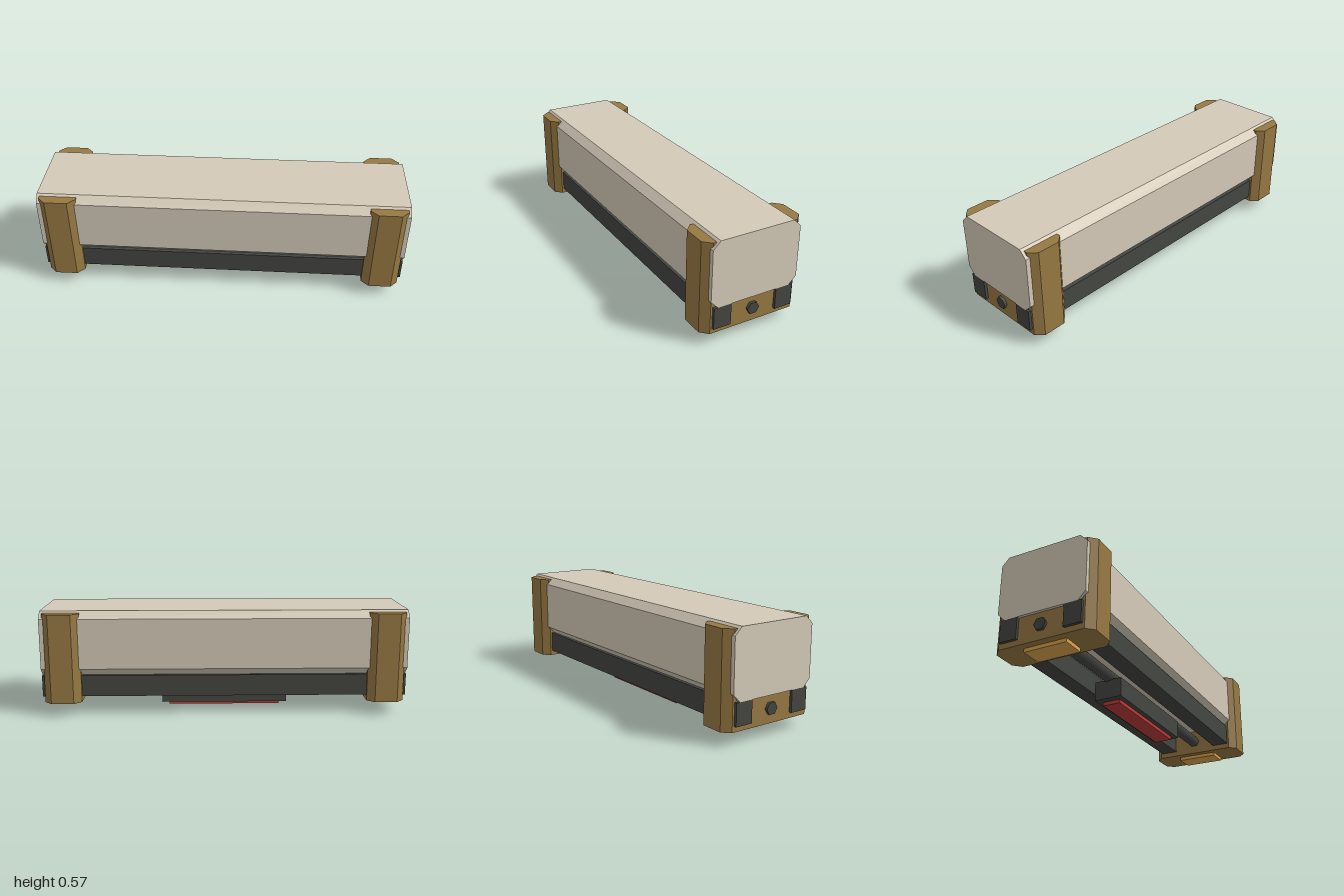
import * as THREE from 'three';

const material = (color) => new THREE.MeshStandardMaterial({ color, flatShading: true });
const cream = material(0xd4cab8);
const bronze = material(0x967943);
const charcoal = material(0x444641);
const amber = material(0xdda44c);
const red = material(0xb93c39);

// Rectangle outline with cut corners, centred on the origin
function chamferedRect(halfW, halfH, cut) {
  return new THREE.Shape([
    [halfW, -halfH + cut], [halfW, halfH - cut], [halfW - cut, halfH], [-halfW + cut, halfH],
    [-halfW, halfH - cut], [-halfW, -halfH + cut], [-halfW + cut, -halfH], [halfW - cut, -halfH],
  ].map(([x, y]) => new THREE.Vector2(x, y)));
}

export function createModel() {
  const model = new THREE.Group();
  model.name = 'chamferedBarOnBrackets';

  function add(name, geometry, mat, x = 0, y = 0, z = 0) {
    const mesh = new THREE.Mesh(geometry, mat);
    mesh.name = name;
    mesh.position.set(x, y, z);
    model.add(mesh);
    return mesh;
  }

  // Box given by its bottom and top heights
  const addBox = (name, mat, width, bottom, top, depth, x = 0, z = 0) =>
    add(name, new THREE.BoxGeometry(width, top - bottom, depth), mat, x, (bottom + top) / 2, z);

  // Long body with chamfered edges, running along x
  const body = new THREE.ExtrudeGeometry(chamferedRect(0.246, 0.178, 0.04), { depth: 2, bevelEnabled: false });
  body.translate(0, 0, -1).rotateY(Math.PI / 2);
  add('body', body, cream, 0, 0.395, 0);

  // Two rails under the body
  for (const [side, name] of [[1, 'frontRail'], [-1, 'backRail']]) {
    addBox(name, charcoal, 2, 0.1, 0.217, 0.097, 0, side * 0.178);
  }

  // Six-sided rod between the rails, its ends showing outside the brackets
  const rod = new THREE.CylinderGeometry(0.034, 0.034, 2, 6).rotateZ(Math.PI / 2);
  const rodMaterial = charcoal.clone();
  rodMaterial.flatShading = false;
  add('rod', rod, rodMaterial, 0, 0.148, 0);

  // End brackets with chamfered upright edges, each on a foot plate
  const bracket = new THREE.ExtrudeGeometry(chamferedRect(0.1, 0.276, 0.039), { depth: 0.492, bevelEnabled: false });
  bracket.rotateX(-Math.PI / 2);
  for (const [side, label] of [[1, 'left'], [-1, 'right']]) {
    add(label + 'Bracket', bracket, bronze, side * 0.885, 0.07, 0);
    addBox(label + 'Foot', amber, 0.12, 0.05, 0.08, 0.238, side * 0.885);
  }

  // Central block and the red pad below it
  addBox('centreBlock', charcoal, 0.71, 0.02, 0.125, 0.156);
  addBox('redPad', red, 0.63, 0, 0.025, 0.1);

  return model;
}
